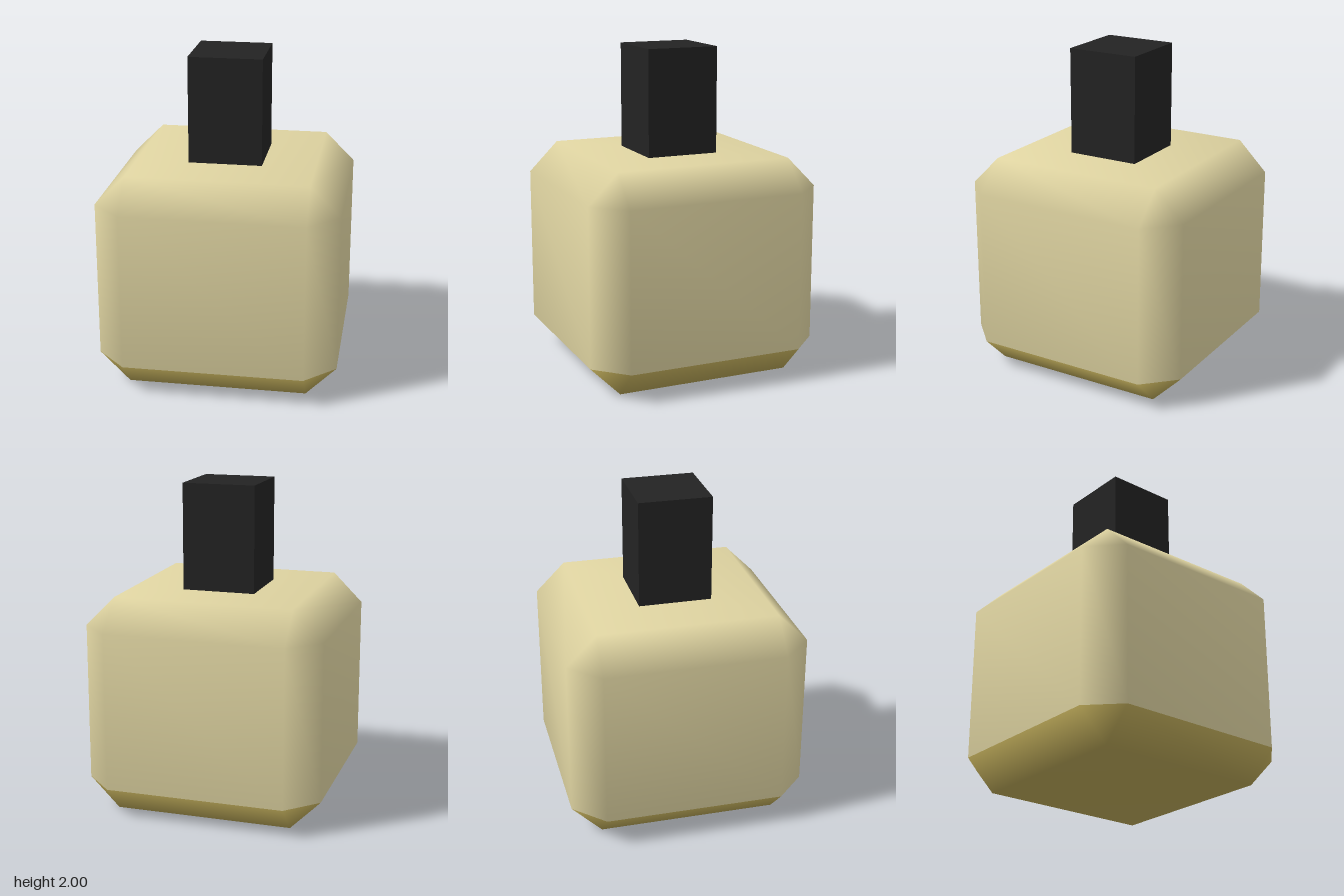
import * as THREE from 'three';

const paint = (name, hex) => {
  const m = new THREE.MeshStandardMaterial({ color: hex });
  m.name = name;
  return m;
};

// Cube with 45 degree chamfers and shared, area-weighted smooth normals.
// Group 0 is the wall and shoulder, group 1 the base and its chamfers.
function chamferedBottle(half, height, bevel) {
  const inner = half - bevel;
  const points = [];
  const turn = (x, z, k) => [[x, z], [-z, x], [-x, -z], [z, -x]][k];
  const ring = (y, corner) => {
    for (let k = 0; k < 4; k++) {
      for (const [x, z] of corner) {
        const [px, pz] = turn(x, z, k);
        points.push(px, y, pz);
      }
    }
  };
  const octagon = [[half, inner], [inner, half]];
  ring(0, [[inner, inner]]);
  ring(bevel, octagon);
  ring(height - bevel, octagon);
  ring(height, [[inner, inner]]);

  const wall = [], base = [];
  const quad = (list, a, b, c, d) => list.push(a, b, c, a, c, d);
  for (let k = 0; k < 4; k++) {
    const n = (k + 1) % 4;
    const lowA = 4 + 2 * k, lowB = lowA + 1, lowNext = 4 + 2 * n;
    const upA = lowA + 8, upB = lowB + 8, upNext = lowNext + 8;
    quad(wall, lowA, upA, upB, lowB);               // upright chamfer
    quad(wall, lowB, upB, upNext, lowNext);         // side
    quad(wall, upB, 20 + k, 20 + n, upNext);        // shoulder chamfer
    wall.push(upA, 20 + k, upB);                    // shoulder corner
    quad(base, k, lowB, lowNext, n);                // base chamfer
    base.push(k, lowA, lowB);                       // base corner
  }
  quad(wall, 23, 22, 21, 20);
  quad(base, 0, 1, 2, 3);

  const geo = new THREE.BufferGeometry();
  geo.setAttribute('position', new THREE.Float32BufferAttribute(points, 3));
  geo.setIndex([...wall, ...base]);
  geo.addGroup(0, wall.length, 0);
  geo.addGroup(wall.length, base.length, 1);
  geo.computeVertexNormals();
  return geo;
}

export function createModel() {
  const cream = paint('cream', 0xe0d5a2);
  const olive = paint('olive gold', 0xbba858);
  const black = paint('soft black', 0x232323);
  const model = new THREE.Group();
  model.name = 'bottle';

  const body = new THREE.Mesh(chamferedBottle(0.735, 1.345, 0.185), [cream, olive]);
  body.name = 'bottleBody';
  model.add(body);

  // Square cap standing on the shoulder
  const cap = new THREE.Mesh(new THREE.BoxGeometry(0.45, 0.655, 0.45), black);
  cap.name = 'cap';
  cap.position.y = 1.345 + 0.655 / 2;
  model.add(cap);

  return model;
}
